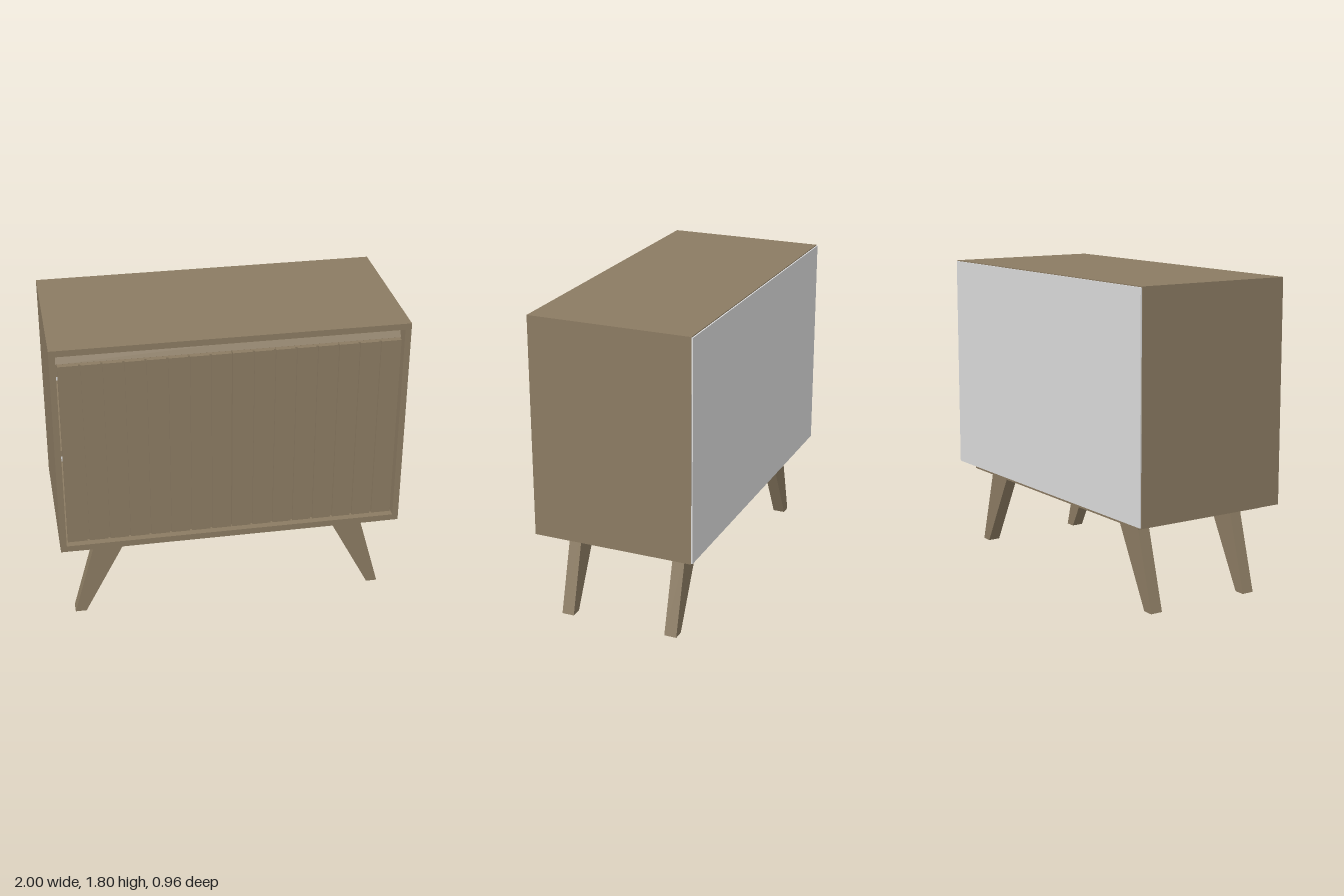
import * as THREE from 'three';

export function createModel() {
  const model = new THREE.Group();
  model.name = 'sideboard';
  const wood = new THREE.MeshStandardMaterial({ color: 0x8b7b62 });
  wood.name = 'walnut wood';
  const white = new THREE.MeshStandardMaterial({ color: 0xdcdcdc });
  white.name = 'pale back board';

  // Box given by its minimum and maximum corners
  function box(name, x0, x1, y0, y1, z0, z1, material = wood, parent = model) {
    const mesh = new THREE.Mesh(new THREE.BoxGeometry(x1 - x0, y1 - y0, z1 - z0), material);
    mesh.position.set((x0 + x1) / 2, (y0 + y1) / 2, (z0 + z1) / 2);
    mesh.name = name;
    parent.add(mesh);
    return mesh;
  }

  // Outline of [x, y] points extruded along z
  function prism(points, depth) {
    const shape = new THREE.Shape(points.map(([x, y]) => new THREE.Vector2(x, y)));
    return new THREE.ExtrudeGeometry(shape, { depth, bevelEnabled: false });
  }

  // Case: open frame, extruded front to back
  const outline = [[-1, 0.515], [1, 0.515], [1, 1.802], [-1, 1.802]];
  const frame = new THREE.Shape(outline.map(([x, y]) => new THREE.Vector2(x, y)));
  const opening = [[-0.965, 0.552], [-0.965, 1.766], [0.965, 1.766], [0.965, 0.552]];
  frame.holes.push(new THREE.Path(opening.map(([x, y]) => new THREE.Vector2(x, y))));
  const carcass = new THREE.Mesh(
    new THREE.ExtrudeGeometry(frame, { depth: 0.948, bevelEnabled: false }), wood);
  carcass.position.z = -0.47;
  carcass.name = 'carcass';
  model.add(carcass);

  box('backPanel', -0.997, 0.997, 0.518, 1.797, -0.478, -0.47, white);
  box('shelf', -0.965, 0.965, 1.095, 1.13, -0.47, 0.38);

  // Sloping rail above and behind the doors, profile drawn in z and y
  const rail = new THREE.Mesh(
    prism([[0.36, 1.615], [0.415, 1.615], [0.415, 1.69], [0.375, 1.766], [0.36, 1.766]], 1.924), wood);
  rail.rotation.y = -Math.PI / 2;
  rail.position.x = 0.962;
  rail.name = 'topRail';
  model.add(rail);

  // Two doors, each with eight upright slats
  const pitch = 0.1194, groove = 0.012;
  for (const side of [-1, 1]) {
    const door = new THREE.Group();
    door.name = side > 0 ? 'leftDoor' : 'rightDoor';
    model.add(door);
    const inner = 0.003, outer = 8 * pitch;
    box('doorBoard', side > 0 ? inner : -outer, side > 0 ? outer : -inner, 0.562, 1.692, 0.42, 0.437, wood, door);
    for (let i = 0; i < 8; i++) {
      const a = i === 0 ? inner : i * pitch + groove / 2;
      const b = i === 7 ? outer : (i + 1) * pitch - groove / 2;
      box('slat', side > 0 ? a : -b, side > 0 ? b : -a, 0.562, 1.692, 0.437, 0.452, wood, door);
    }
  }

  // Plinth board and four splayed, tapering legs
  box('plinth', -0.9, 0.9, 0.48, 0.515, -0.42, 0.428);
  for (const side of [-1, 1]) {
    for (const [z, name] of [[0.29, 'frontLeg'], [-0.352, 'backLeg']]) {
      const leg = new THREE.Mesh(prism(
        [[0.865, 0], [0.93, 0], [0.795, 0.482], [0.61, 0.482]].map(([x, y]) => [side * x, y]), 0.073), wood);
      leg.position.z = z;
      leg.name = name;
      model.add(leg);
    }
  }
  return model;
}
